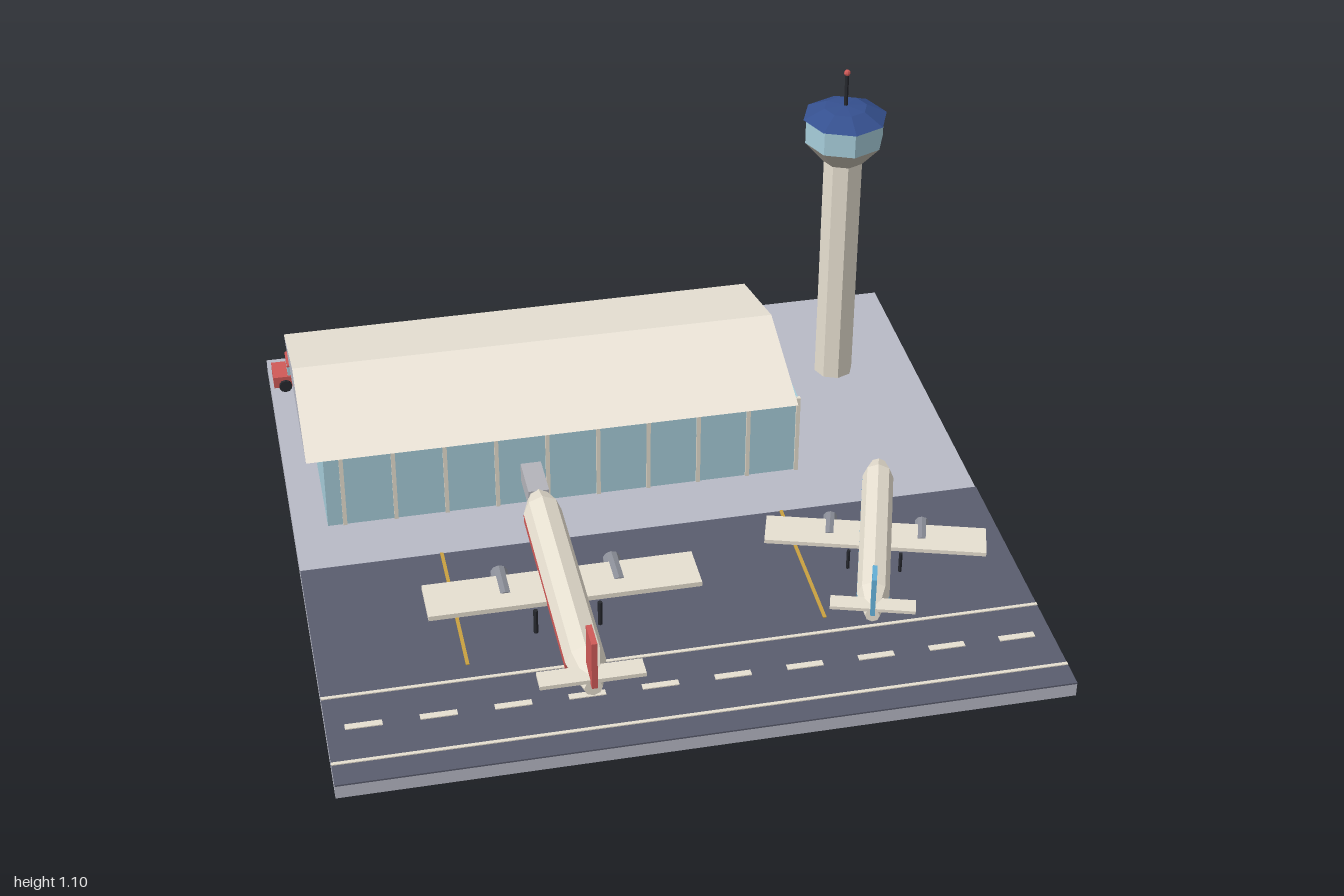
import * as THREE from 'three';

const materials = {};
function mat(color) {
  return (materials[color] ??= new THREE.MeshStandardMaterial({ color, flatShading: true, side: THREE.DoubleSide }));
}
const CREAM = 0xe6dfd0, GLASS = 0xa6ccd9, DARK = 0x26282e, SLAB = 0xb8bac6, RED = 0xcf5a58, BLUE = 0x62aed6;

function add(parent, name, geometry, color, x = 0, y = 0, z = 0) {
  const mesh = new THREE.Mesh(geometry, mat(color));
  mesh.name = name;
  mesh.position.set(x, y, z);
  parent.add(mesh);
  return mesh;
}
const box = (parent, name, color, w, h, d, x, y, z) =>
  add(parent, name, new THREE.BoxGeometry(w, h, d), color, x, y, z);

function group(parent, name) {
  const g = new THREE.Group();
  g.name = name;
  parent.add(g);
  return g;
}
const lathe = (points, sides) =>
  new THREE.LatheGeometry(points.map(([r, y]) => new THREE.Vector2(r, y)), sides);

function buildGround(root) {
  const g = group(root, 'ground');
  box(g, 'baseSlab', SLAB, 2, 0.04, 2, 0, 0.02, 0);
  box(g, 'asphalt', 0x5a5d6e, 2, 0.005, 0.9, 0, 0.0425, 0.55);
  for (const z of [0.66, 0.92]) box(g, 'runwayEdgeLine', CREAM, 2, 0.003, 0.01, 0, 0.0465, z);
  for (let i = 0; i < 10; i++) box(g, 'runwayDash', CREAM, 0.1, 0.003, 0.02, -0.9 + i * 0.2, 0.0465, 0.785);
  for (const x of [-0.595, 0.405]) box(g, 'taxiLine', 0xc9a040, 0.01, 0.003, 0.5, x, 0.0465, 0.35);
}

function buildTerminal(root) {
  const g = group(root, 'terminal');
  box(g, 'glassHall', GLASS, 1.4, 0.26, 0.6, -0.2, 0.17, -0.4);
  for (let i = 0; i < 10; i++) box(g, 'mullion', CREAM, 0.012, 0.26, 0.012, -0.85 + i * 0.15, 0.17, -0.1);
  // Gabled roof: triangle extruded along x
  const gable = new THREE.Shape();
  gable.moveTo(-0.34, 0).lineTo(0.34, 0).lineTo(0, 0.1).closePath();
  const roof = add(g, 'roof', new THREE.ExtrudeGeometry(gable, { depth: 1.44, bevelEnabled: false }), CREAM, -0.95, 0.3, -0.4);
  roof.material = [mat(SLAB), mat(0xece5d8)];
  roof.rotation.y = Math.PI / 2;
  box(g, 'jetBridge', 0xb4b4ba, 0.06, 0.06, 0.14, -0.3, 0.15, -0.03);
}

function buildTower(root) {
  const g = group(root, 'controlTower');
  g.position.set(0.75, 0, -0.6);
  add(g, 'shaft', new THREE.CylinderGeometry(0.06, 0.06, 0.76, 8), CREAM, 0, 0.42, 0);
  add(g, 'cabBase', new THREE.CylinderGeometry(0.12, 0.065, 0.065, 8), 0xb9b2a6, 0, 0.8325, 0);
  add(g, 'cabGlass', new THREE.CylinderGeometry(0.12, 0.12, 0.08, 8), GLASS, 0, 0.905, 0);
  add(g, 'cabRoof', lathe([[0, 0], [0.128, 0], [0.065, 0.032], [0, 0.038]], 8), 0x35508f, 0, 0.943, 0);
  add(g, 'antenna', new THREE.CylinderGeometry(0.006, 0.006, 0.11, 6), DARK, 0, 1.03, 0);
  add(g, 'beacon', new THREE.SphereGeometry(0.01, 8, 6), RED, 0, 1.087, 0);
}

// Airliner with its nose toward -z, wheels on y = 0, origin under the wing centre
function buildPlane(root, name, accent, x, z, turn, scale) {
  const g = group(root, name);
  g.position.set(x, 0.042, z);
  g.rotation.y = turn;
  g.scale.setScalar(scale);
  const body = add(g, 'fuselage',
    lathe([[0, -0.38], [0.03, -0.38], [0.055, -0.31], [0.055, 0.36], [0.025, 0.47], [0, 0.47]], 8), CREAM, 0, 0.108, 0);
  body.rotation.x = Math.PI / 2;
  box(g, 'sideStripe', accent, 0.11, 0.022, 0.66, 0, 0.093, 0.02);
  box(g, 'wing', CREAM, 0.765, 0.015, 0.14, 0, 0.081, 0);
  box(g, 'tailplane', CREAM, 0.285, 0.012, 0.06, 0, 0.13, 0.44);
  box(g, 'tailFin', accent, 0.016, 0.15, 0.08, 0, 0.198, 0.45);
  for (const s of [-1, 1]) {
    const engine = add(g, 'engine', new THREE.CylinderGeometry(0.025, 0.025, 0.12, 10), 0x8b8e98, s * 0.16, 0.068, -0.05);
    engine.rotation.x = Math.PI / 2;
    add(g, 'mainGear', new THREE.CylinderGeometry(0.007, 0.007, 0.08, 6), DARK, s * 0.09, 0.04, 0.09);
  }
  add(g, 'centreGear', new THREE.CylinderGeometry(0.007, 0.007, 0.08, 6), DARK, 0, 0.04, -0.05);
}

function buildCar(root, color, x) {
  const g = group(root, 'parkedCar');
  g.position.set(x, 0.04, -0.863);
  box(g, 'carBody', color, 0.18, 0.038, 0.088, 0, 0.032, 0);
  box(g, 'carWindows', GLASS, 0.09, 0.032, 0.076, 0, 0.067, 0);
  box(g, 'carRoof', color, 0.092, 0.006, 0.08, 0, 0.086, 0);
  for (const sx of [-1, 1]) for (const sz of [-1, 1]) {
    const wheel = add(g, 'wheel', new THREE.CylinderGeometry(0.02, 0.02, 0.016, 10), DARK, sx * 0.055, 0.02, sz * 0.045);
    wheel.rotation.x = Math.PI / 2;
  }
}

export function createModel() {
  const root = new THREE.Group();
  root.name = 'airport';
  buildGround(root);
  buildTerminal(root);
  buildTower(root);
  buildPlane(root, 'airlinerAtGate', RED, -0.3, 0.41, 0, 1);
  buildPlane(root, 'taxiingAirliner', BLUE, 0.618, 0.348, -0.3, 0.82);
  const cars = [[RED, -0.9], [BLUE, -0.7], [0xd8c070, -0.5], [0x84c29c, 0.1], [0xdad5cc, 0.3]];
  for (const [color, x] of cars) buildCar(root, color, x);
  return root;
}
